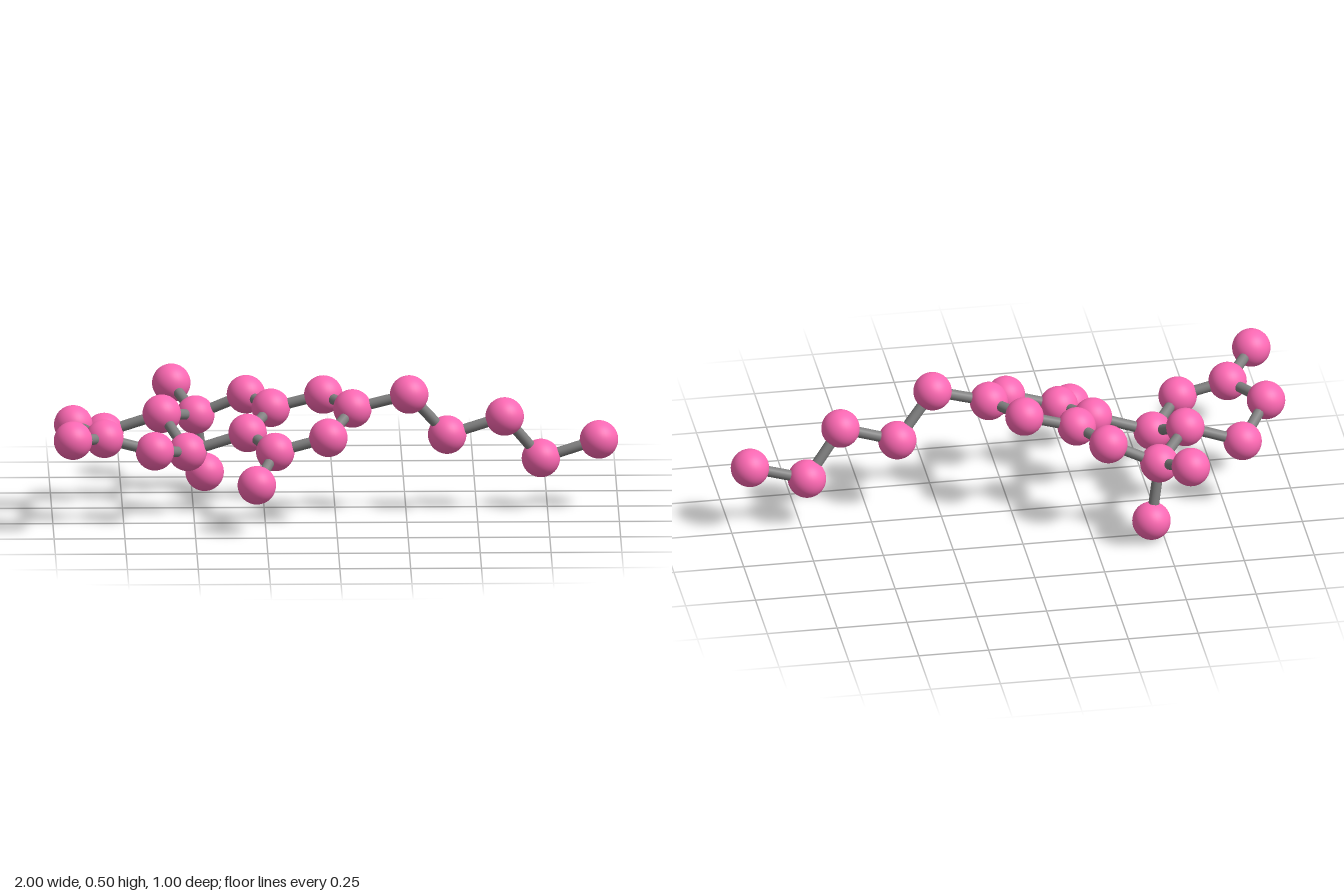
import * as THREE from 'three';

const ATOM_RADIUS = 0.068;
const BOND_RADIUS = 0.019;

// Atom centres, grouped by their place in the molecule
const atoms = {
  // aromatic ring
  a1: [-0.31, 0.295, 0.105], a2: [-0.225, 0.35, -0.055], a3: [-0.04, 0.4, -0.043],
  a4: [0.06, 0.385, 0.118], a5: [-0.028, 0.315, 0.278], a6: [-0.215, 0.262, 0.268],
  hydroxyl: [-0.283, 0.178, 0.43],
  // middle ring
  oxygen: [-0.31, 0.362, -0.224], bridge: [-0.488, 0.283, -0.25],
  methylUp: [-0.57, 0.358, -0.432], methylDown: [-0.455, 0.07, -0.278],
  // outer ring
  c1: [-0.522, 0.225, 0.094], c2: [-0.61, 0.325, -0.078], c3: [-0.813, 0.257, -0.09],
  c4: [-0.925, 0.322, 0.076], c5: [-0.818, 0.31, 0.258], c6: [-0.64, 0.265, 0.262],
  methylSide: [-0.932, 0.342, 0.43],
  // zigzag tail
  t1: [0.26, 0.437, 0.128], t2: [0.395, 0.28, 0.077], t3: [0.598, 0.345, 0.078],
  t4: [0.727, 0.183, 0.026], t5: [0.932, 0.248, 0.02],
};

// Each chain bonds its neighbouring atoms
const chains = {
  aromaticRing: ['a1', 'a2', 'a3', 'a4', 'a5', 'a6', 'a1'],
  hydroxyl: ['a6', 'hydroxyl'],
  middleRing: ['a2', 'oxygen', 'bridge', 'c2'],
  ringLink: ['a1', 'c1'],
  methylPair: ['methylUp', 'bridge', 'methylDown'],
  outerRing: ['c1', 'c2', 'c3', 'c4', 'c5', 'c6', 'c1'],
  sideMethyl: ['c5', 'methylSide'],
  tail: ['a4', 't1', 't2', 't3', 't4', 't5'],
};

export function createModel() {
  const model = new THREE.Group();
  model.name = 'molecule';

  const pink = new THREE.MeshStandardMaterial({ color: 0xff69b4 });
  const grey = new THREE.MeshStandardMaterial({ color: 0x808080 });
  const ball = new THREE.SphereGeometry(ATOM_RADIUS, 32, 24);
  const stick = new THREE.CylinderGeometry(BOND_RADIUS, BOND_RADIUS, 1, 16, 1, true);
  const up = new THREE.Vector3(0, 1, 0);

  // Atoms
  const atomGroup = new THREE.Group();
  atomGroup.name = 'atoms';
  for (const [name, position] of Object.entries(atoms)) {
    const atom = new THREE.Mesh(ball, pink);
    atom.name = `atom ${name}`;
    atom.position.set(...position);
    atomGroup.add(atom);
  }

  // Bonds: a unit stick stretched between two atom centres
  const bondGroup = new THREE.Group();
  bondGroup.name = 'bonds';
  for (const [name, chain] of Object.entries(chains)) {
    const group = new THREE.Group();
    group.name = `${name} bonds`;
    for (let i = 1; i < chain.length; i++) {
      const from = new THREE.Vector3(...atoms[chain[i - 1]]);
      const to = new THREE.Vector3(...atoms[chain[i]]);
      const bond = new THREE.Mesh(stick, grey);
      bond.name = 'bond';
      bond.position.copy(from).lerp(to, 0.5);
      bond.scale.y = from.distanceTo(to);
      bond.quaternion.setFromUnitVectors(up, to.sub(from).normalize());
      group.add(bond);
    }
    bondGroup.add(group);
  }

  model.add(atomGroup, bondGroup);
  return model;
}
